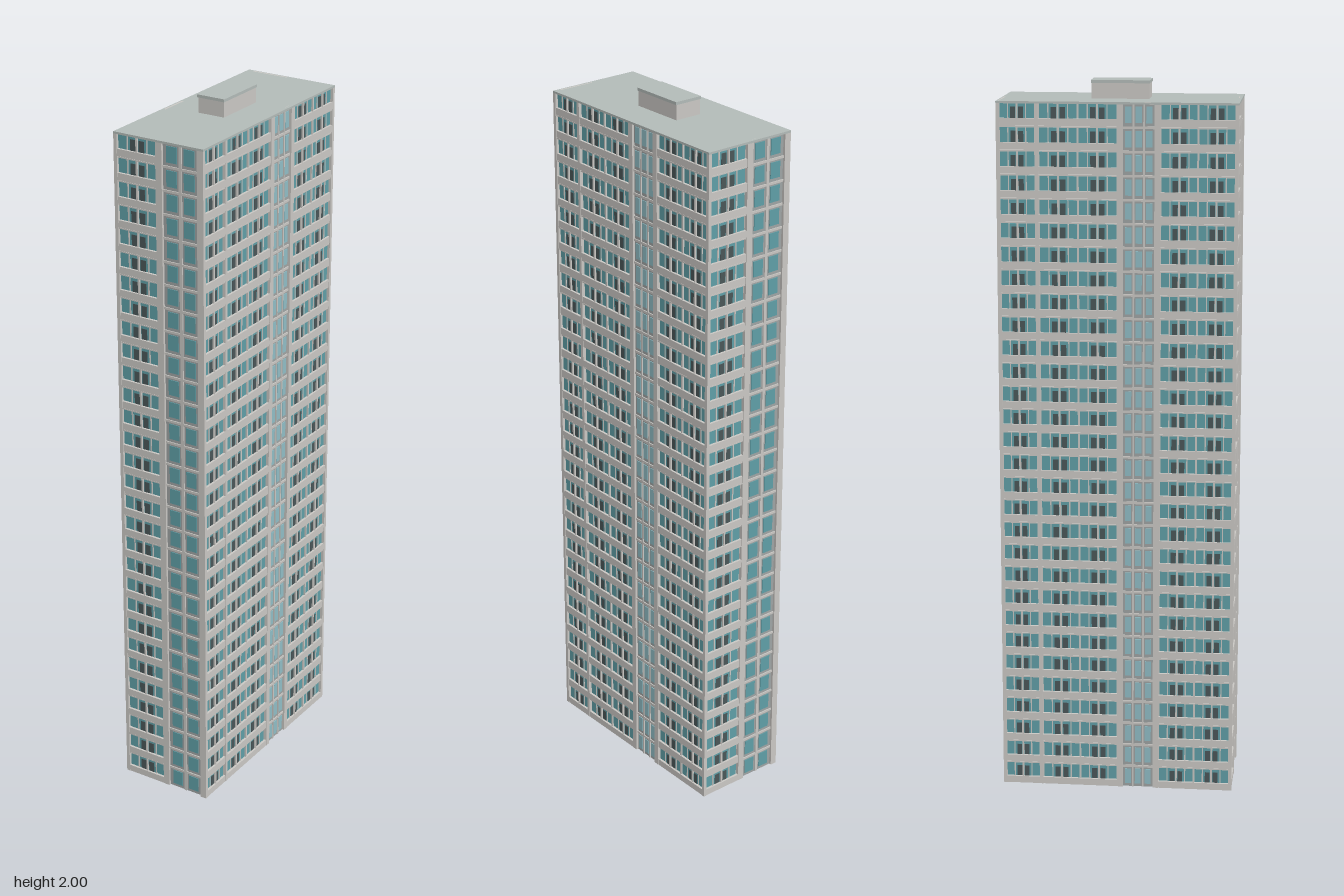
import * as THREE from 'three';
import { mergeGeometries } from 'three/addons/utils/BufferGeometryUtils.js';

const W = 0.276, L = 0.655, H = 1.95;   // plan width, plan length, roof height
const FLOORS = 30, STEP = H / FLOORS;
const INSET = 0.01;                     // depth of the recessed wall behind the facade grid

const mat = (name, color) => {
  const m = new THREE.MeshStandardMaterial({ color });
  m.name = name;
  return m;
};

export function createModel() {
  const mats = {
    wall: mat('pale concrete', 0xc9c7c3),
    panel: mat('grey panel', 0x9ea3a3),
    glass: mat('teal glass', 0x5f9ea6),
    pale: mat('pale glass', 0x8fbcc4),
    dark: mat('dark opening', 0x4a5658),
    roof: mat('roof grey', 0xb2bab7),
  };
  const model = new THREE.Group();
  const tower = new THREE.Group();
  tower.name = 'tower';
  tower.rotation.y = -Math.PI / 6;
  model.add(tower);

  const block = (name, w, h, d, y, m) => {
    const mesh = new THREE.Mesh(new THREE.BoxGeometry(w, h, d), m);
    mesh.name = name;
    mesh.position.y = y + h / 2;
    tower.add(mesh);
  };
  block('core', W - 2 * INSET, H - 0.004, L - 2 * INSET, 0, mats.wall);
  block('roofSlab', W, 0.006, L, H - 0.006, mats.roof);
  block('roofHouse', 0.08, 0.042, 0.157, H, mats.wall);
  block('roofHouseCap', 0.084, 0.008, 0.161, 2 - 0.008, mats.roof);

  // One facade, laid out from its left edge to its right edge
  function facade(name, width, reach, angle, layout) {
    const parts = {};
    const add = (part, m, u0, u1, y0, y1, out) => {
      const g = new THREE.BoxGeometry((u1 - u0) * width, y1 - y0, out);
      g.translate(((u0 + u1) / 2 - 0.5) * width, (y0 + y1) / 2, reach - INSET + out / 2);
      (parts[part] ??= { m, list: [] }).list.push(g);
    };

    // Full-height piers
    for (const [a, b] of layout.piers) add('piers', mats.wall, a, b, 0, H - 0.006, INSET);

    for (let f = 0; f < FLOORS; f++) {
      const y = f * STEP;
      // Balcony bays: parapet, glazing, dark doorway, slim posts
      for (const [a, b, n] of layout.balconies) {
        add('parapets', mats.wall, a, b, y, y + STEP * 0.3, INSET - 0.001);
        add('slabEdges', mats.wall, a, b, y + STEP * 0.93, y + STEP * 0.985, INSET - 0.002);
        const w = (b - a) / n;
        for (let i = 0; i < n; i++) {
          const u = a + i * w;
          const y0 = y + STEP * 0.3, y1 = y + STEP * 0.91;
          const door = i % 2 ? 0.08 : 0.64;
          add('glazing', mats.glass, u + w * 0.04, u + w * 0.96, y0, y1, 0.002);
          add('doorways', mats.dark, u + w * door, u + w * (door + 0.28), y0, y1 - STEP * 0.14, 0.003);
          add('windowBars', mats.wall, u + w * 0.47, u + w * 0.53, y0, y1, 0.004);
          if (i) add('posts', mats.wall, u - 0.0025 / width, u + 0.0025 / width, y0, y1 + STEP * 0.03, INSET - 0.003);
        }
      }
      // Tall narrow windows in a grey panel
      for (const [a, b, n, m] of layout.windows) {
        add('panels', mats.panel, a, b, y, y + STEP * 0.9, 0.003);
        add('floorBands', mats.wall, a, b, y + STEP * 0.9, y + STEP, 0.006);
        const w = (b - a) / n;
        for (let i = 0; i < n; i++) {
          const u = a + i * w;
          add('tallWindows', mats[m], u + w * 0.2, u + w * 0.8, y + STEP * 0.14, y + STEP * 0.82, 0.005);
          if (i) add('panelRibs', mats.wall, u - w * 0.08, u + w * 0.08, y, y + STEP * 0.9, 0.006);
        }
      }
    }
    const group = new THREE.Group();
    group.name = name;
    group.rotation.y = angle;
    for (const [part, { m, list }] of Object.entries(parts)) {
      const mesh = new THREE.Mesh(mergeGeometries(list), m);
      mesh.name = part;
      group.add(mesh);
    }
    tower.add(group);
  }

  const longSide = {
    piers: [[0, 0.012], [0.16, 0.175], [0.5, 0.525], [0.655, 0.68], [0.988, 1]],
    balconies: [[0.012, 0.16, 2], [0.175, 0.5, 4], [0.68, 0.988, 4]],
    windows: [[0.525, 0.655, 3, 'pale']],
  };
  const shortSide = {
    piers: [[0, 0.03], [0.47, 0.54], [0.93, 1]],
    balconies: [[0.03, 0.47, 2]],
    windows: [[0.54, 0.93, 2, 'glass']],
  };
  // Opposite sides match by a half turn
  for (const turn of [0, Math.PI]) {
    const end = turn ? 'Back' : 'Front';
    facade('shortFacade' + end, W, L / 2, turn, shortSide);
    facade('longFacade' + end, L, W / 2, turn + Math.PI / 2, longSide);
  }
  return model;
}
